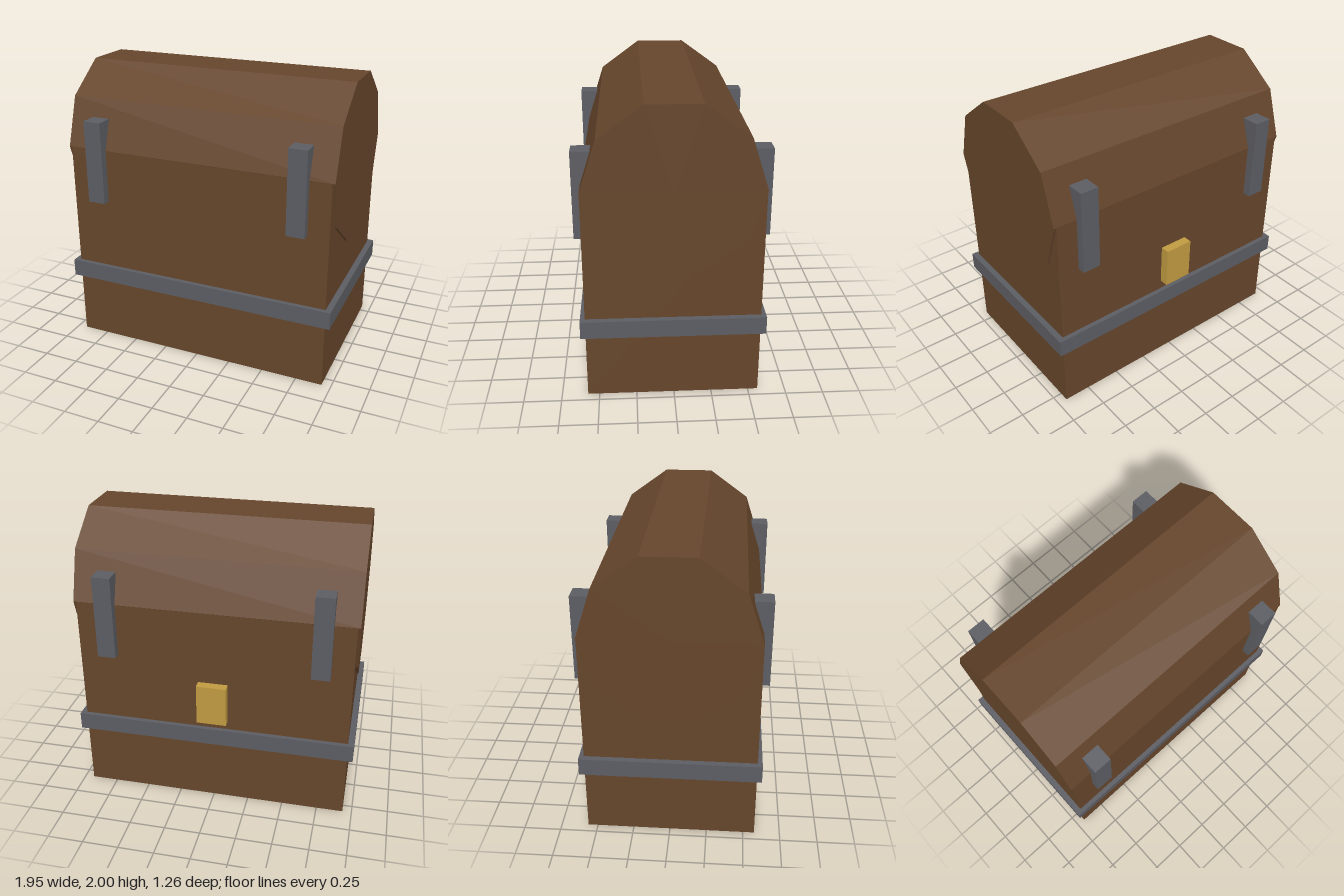
import * as THREE from 'three';

export function createModel() {
  const chest = new THREE.Group();
  chest.name = 'chest';

  const paint = (color) => new THREE.MeshStandardMaterial({ color, flatShading: true });
  const wood = paint(0x65452b);
  const iron = paint(0x5c5d63);
  const brass = paint(0xc09a40);
  const midZ = 0.005; // the latch at the back shifts the body slightly forward

  function add(name, geometry, material, x, y, z) {
    const mesh = new THREE.Mesh(geometry, material);
    mesh.name = name;
    mesh.position.set(x, y, z);
    chest.add(mesh);
    return mesh;
  }

  // Body and the iron band around it
  add('body', new THREE.BoxGeometry(1.872, 1.455, 1.143), wood, 0, 0.7275, midZ);
  add('band', new THREE.BoxGeometry(1.953, 0.122, 1.206), iron, 0, 0.521, midZ);

  // Ten-sided barrel lid lying along x, with a corner at front and back
  const barrel = new THREE.CylinderGeometry(0.572, 0.572, 1.908, 10);
  barrel.rotateZ(Math.PI / 2);
  add('lid', barrel, wood, 0, 1.456, midZ);

  // Four upright straps across the lid seam
  for (const side of [-1, 1]) {
    for (const face of [-1, 1]) {
      const name = (face > 0 ? 'front' : 'back') + (side > 0 ? 'Left' : 'Right') + 'Strap';
      add(name, new THREE.BoxGeometry(0.126, 0.582, 0.122), iron,
        side * 0.727, 1.376, midZ + face * 0.566);
    }
  }

  // Latch
  add('latch', new THREE.BoxGeometry(0.206, 0.288, 0.126), brass, 0, 0.793, -0.566);

  return chest;
}
